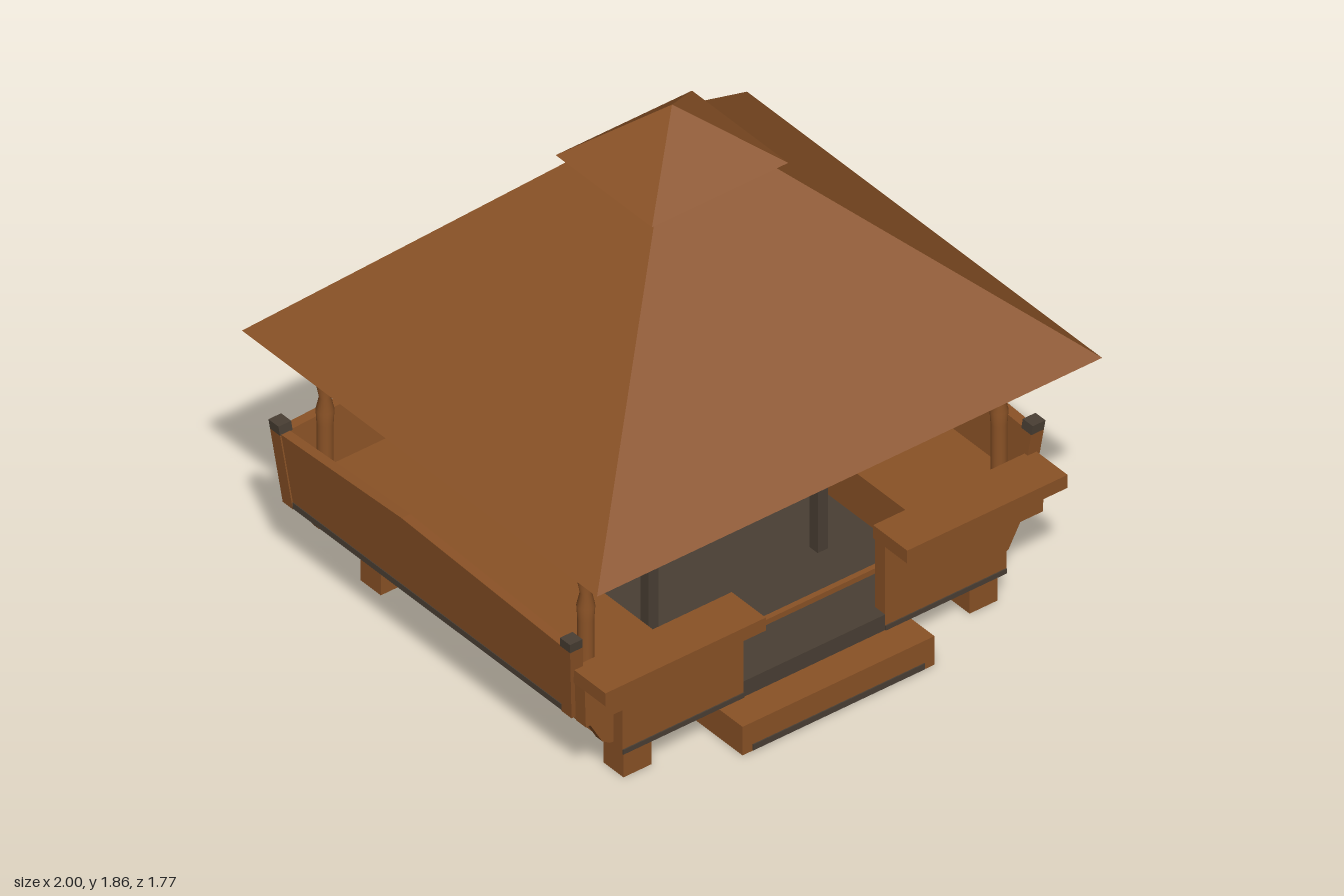
import * as THREE from 'three';

export function createModel() {
  const model = new THREE.Group();
  const wood = new THREE.MeshStandardMaterial({ color: 0x8a5226, side: THREE.DoubleSide });
  wood.name = 'brown wood';
  const dark = new THREE.MeshStandardMaterial({ color: 0x4a3f34 });
  dark.name = 'dark floor';

  const add = (name, geo, mat = wood) => {
    const mesh = new THREE.Mesh(geo, mat);
    mesh.name = name;
    model.add(mesh);
    return mesh;
  };
  // box given by its limits on each axis
  const box = (name, x0, x1, y0, y1, z0, z1, mat) => {
    const g = new THREE.BoxGeometry(Math.abs(x1 - x0), y1 - y0, Math.abs(z1 - z0));
    return add(name, g.translate((x0 + x1) / 2, (y0 + y1) / 2, (z0 + z1) / 2), mat);
  };
  // four-sided pyramid section from half sizes at two heights
  const frustum = (name, x0, z0, y0, k, y1, mat) => {
    const r = Math.SQRT2;
    const g = new THREE.CylinderGeometry(r * k, r, y1 - y0, 4, 1, true)
      .rotateY(Math.PI / 4).scale(x0, 1, z0).translate(0, (y0 + y1) / 2, 0).toNonIndexed();
    g.computeVertexNormals();
    return add(name, g, mat);
  };
  const outline = (pts) => new THREE.Shape(pts.map(([x, y]) => new THREE.Vector2(x, y)));
  const slab = (pts, depth) =>
    new THREE.ExtrudeGeometry(outline(pts), { depth, bevelEnabled: false });
  // lean a geometry outward along an axis as it rises
  const lean = (g, axis, rate) => {
    const p = g.attributes.position;
    for (let i = 0; i < p.count; i++) {
      p.setComponent(i, axis, p.getComponent(i, axis) + (p.getY(i) - 0.28) * rate);
    }
    g.computeVertexNormals();
    return g;
  };

  // roof and cap
  frustum('mainRoof', 1, 0.885, 0.93, 0.235, 1.63);
  frustum('roofCapEave', 0.235, 0.208, 1.62, 1.14, 1.645);
  frustum('roofCap', 0.27, 0.24, 1.645, 0, 1.855);

  // base skirt, floor and overhanging deck
  box('floor', -0.74, 0.74, 0.13, 0.17, -0.63, 0.70, dark);
  box('floorEdge', -0.28, 0.28, 0.11, 0.17, 0.66, 0.71, dark);
  box('baseBack', -0.76, 0.76, 0.11, 0.28, -0.65, -0.61);
  const ring = outline([[-0.9, -0.64], [0.9, -0.64], [0.9, 0.79], [-0.9, 0.79]]);
  ring.holes.push(new THREE.Path([[-0.74, -0.72], [0.74, -0.72], [0.74, 0.63], [-0.74, 0.63]]
    .map(([x, y]) => new THREE.Vector2(x, Math.max(y, -0.62)))));
  add('deckOverhang', new THREE.ExtrudeGeometry(ring, { depth: 0.02, bevelEnabled: false })
    .rotateX(-Math.PI / 2).translate(0, 0.28, 0));

  // hollow step running under the floor
  box('stepTop', -0.38, 0.38, 0.09, 0.11, -0.42, 0.83);
  box('stepFront', -0.38, 0.38, 0, 0.11, 0.79, 0.83);
  box('stepBack', -0.38, 0.38, 0, 0.11, -0.42, -0.38);
  box('stepFrontTrim', -0.34, 0.34, 0.003, 0.025, 0.83, 0.834, dark);

  // leaning back wall
  add('backWall', lean(slab([[-0.9, 0.28], [0.9, 0.28], [0.92, 0.555], [0, 0.592], [-0.92, 0.555]], 0.035)
    .translate(0, 0, -0.79), 2, -0.1));
  box('backWallTrim', -0.88, 0.88, 0.283, 0.3, -0.797, -0.79, dark);

  for (const s of [-1, 1]) {
    // side wall, base side and step side
    const wall = slab([[-0.64, 0.28], [0.79, 0.28], [0.815, 0.56], [0.17, 0.592], [-0.665, 0.555]], 0.035)
      .rotateY(Math.PI / 2).translate(s > 0 ? 0.87 : -0.905, 0, 0);
    add('sideWall', lean(wall, 0, s * 0.1));
    box('sideWallTrim', s * 0.905, s * 0.91, 0.283, 0.305, -0.78, 0.63, dark);
    box('baseSide', s * 0.72, s * 0.76, 0.11, 0.28, -0.65, 0.71);
    box('stepSide', s * 0.34, s * 0.38, 0, 0.11, -0.42, 0.83);

    // front panel with shelf
    add('frontPanel', slab([[s * 0.28, 0.11], [s * 0.76, 0.11], [s * 0.76, 0.28], [s * 0.905, 0.28],
      [s * 0.91, 0.44], [s * 0.28, 0.44]], 0.05).translate(0, 0, 0.66));
    box('frontShelf', s * 0.28, s * 0.915, 0.43, 0.48, 0.65, 0.82);
    box('frontTrim', s * 0.28, s * 0.76, 0.11, 0.128, 0.71, 0.714, dark);

    // side bench
    box('sideBenchSeat', s * 0.5, s * 0.88, 0.345, 0.37, -0.76, 0.6);
    box('sideBenchFront', s * 0.53, s * 0.56, 0.17, 0.345, -0.5, 0.6);

    for (const back of [false, true]) {
      const footZ = back ? -0.57 : 0.64;
      box('foot', s * 0.63, s * 0.74, 0, 0.13, footZ - 0.05, footZ + 0.05);

      // curved bracket below the overhang
      const z = back ? -0.775 : 0.635;
      add('bracket', slab([[s * 0.74, 0.28], [s * 0.875, 0.28], [s * 0.805, 0.155],
        [s * 0.775, 0.135], [s * 0.74, 0.13]], 0.03).translate(0, 0, z));

      // corner stake with dark cap
      const cz = back ? -0.77 : 0.62, dz = back ? -0.1 : 0.1;
      for (const [name, y0, y1, mat] of [['cornerStake', 0.28, 0.56, wood], ['cornerCap', 0.56, 0.595, dark]]) {
        const g = new THREE.BoxGeometry(0.05, y1 - y0, 0.05).translate(s * 0.885, (y0 + y1) / 2, cz);
        add(name, lean(lean(g, 0, s * 0.1), 2, dz), mat);
      }

      // turned roof post with two braces
      const px = s * 0.818, pz = back ? -0.7 : 0.6;
      const profile = [[0.027, 0.28], [0.027, 0.6], [0.03, 0.65], [0.019, 0.7], [0.027, 0.74], [0.027, 1.06]];
      add('roofPost', new THREE.LatheGeometry(profile.map(([r, y]) => new THREE.Vector2(r, y)), 16)
        .translate(px, 0, pz));
      for (const [dx, dzz] of [[-s, 0], [0, back ? 1 : -1]]) {
        const brace = add('roofBrace', new THREE.BoxGeometry(0.03, 0.28, 0.03));
        const dir = new THREE.Vector3(dx * 0.75, 1, dzz * 0.75).normalize();
        brace.quaternion.setFromUnitVectors(new THREE.Vector3(0, 1, 0), dir);
        brace.position.set(px, 0.81, pz).addScaledVector(dir, 0.13);
      }

      // table legs
      const lz = back ? -0.31 : 0.31;
      box('tableLeg', s * 0.315, s * 0.355, 0.17, 0.43, lz - 0.02, lz + 0.02, dark);
    }
  }

  // back bench, table and centre post
  box('backBenchSeat', -0.5, 0.5, 0.345, 0.37, -0.76, -0.47);
  box('backBenchFront', -0.53, 0.53, 0.17, 0.345, -0.53, -0.5);
  box('tableTop', -0.37, 0.37, 0.43, 0.48, -0.35, 0.35);
  const centre = [[0.034, 0.17], [0.034, 0.58], [0.022, 0.64], [0.022, 0.655], [0.037, 0.69], [0.037, 1.63]];
  add('centrePost', new THREE.LatheGeometry(centre.map(([r, y]) => new THREE.Vector2(r, y)), 16)
    .translate(-0.015, 0, 0.015));

  return model;
}
